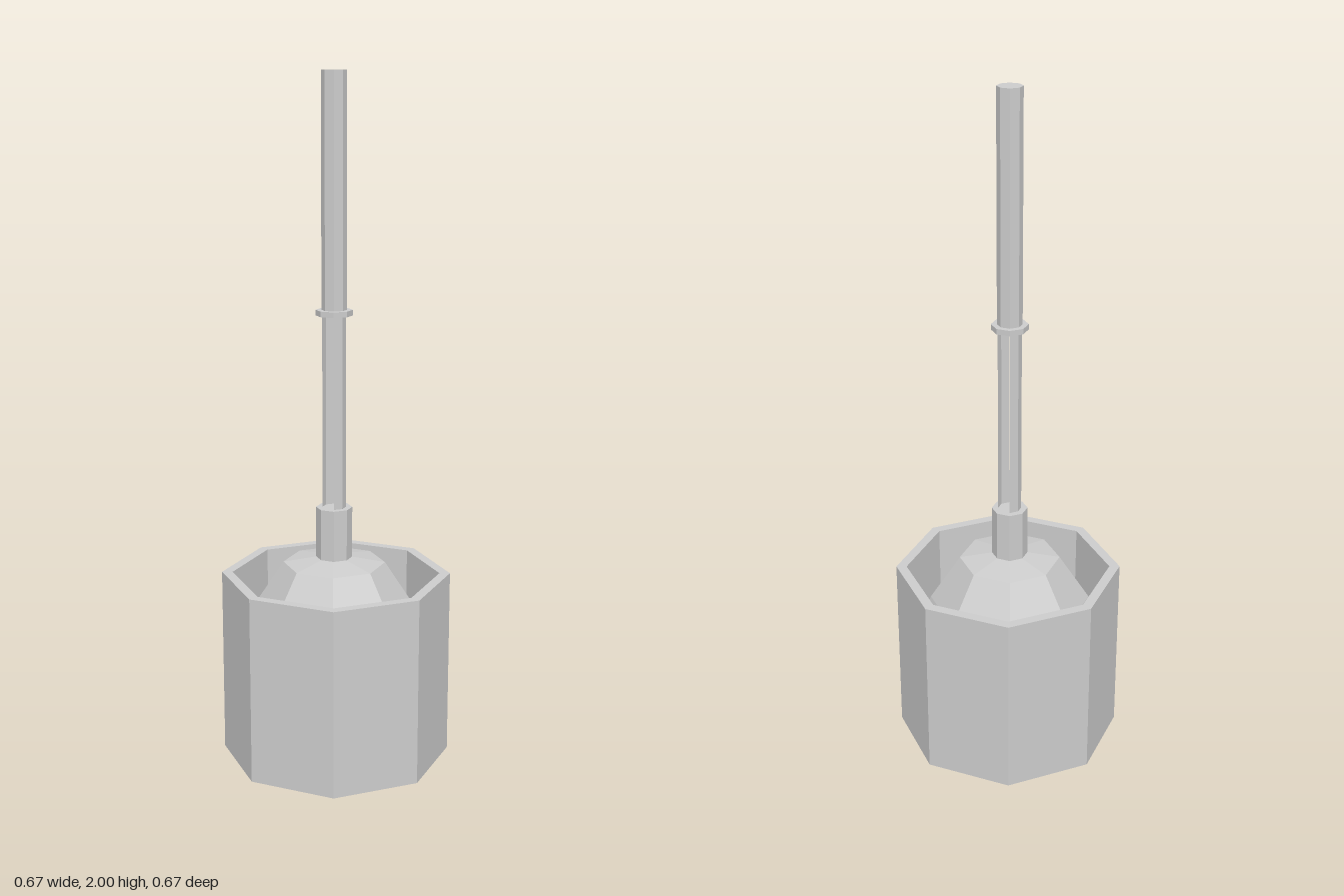
import * as THREE from 'three';

const SIDES = 8;
const material = new THREE.MeshStandardMaterial({ color: 0xcccccc, flatShading: true, side: THREE.DoubleSide });

function add(parent, name, geometry, y = 0) {
  const mesh = new THREE.Mesh(geometry, material);
  mesh.name = name;
  mesh.position.y = y;
  parent.add(mesh);
  return mesh;
}

// Octagonal turned form from [radius, height] pairs
const turned = (points) =>
  new THREE.LatheGeometry(points.map(([r, y]) => new THREE.Vector2(r, y)), SIDES);

// Octagonal rod between two heights
function rod(parent, name, radius, y0, y1) {
  return add(parent, name, new THREE.CylinderGeometry(radius, radius, y1 - y0, SIDES), (y0 + y1) / 2);
}

export function createModel() {
  const model = new THREE.Group();
  model.name = 'plungerAndHolder';

  // Open holder: underside, outer wall, rim, inner wall, floor
  add(model, 'holder', turned([
    [0, 0], [0.337, 0], [0.337, 0.555], [0.306, 0.555], [0.303, 0.03], [0, 0.03],
  ]));

  // Plunger stands very slightly off centre in the holder
  const plunger = new THREE.Group();
  plunger.name = 'plunger';
  plunger.position.set(-0.004, 0, 0.003);
  model.add(plunger);

  // Rubber bell with a flattened crown and steep skirt
  add(plunger, 'bell', turned([
    [0.28, 0.04], [0.299, 0.04], [0.299, 0.24], [0.283, 0.34], [0.24, 0.45],
    [0.15, 0.588], [0.05, 0.605], [0, 0.605],
  ]));

  rod(plunger, 'socket', 0.053, 0.605, 0.757);
  rod(plunger, 'collar', 0.053, 1.322, 1.338);
  rod(plunger, 'handle', 0.036, 1.338, 2);

  // Lower shaft: two angled strips, open towards front and back
  for (const side of [1, -1]) {
    const strip = new THREE.CylinderGeometry(0.034, 0.034, 0.57, 2, 1, true, side * Math.PI / 2 - Math.PI / 4, Math.PI / 2);
    add(plunger, side > 0 ? 'leftShaftStrip' : 'rightShaftStrip', strip, 1.04);
  }
  return model;
}
